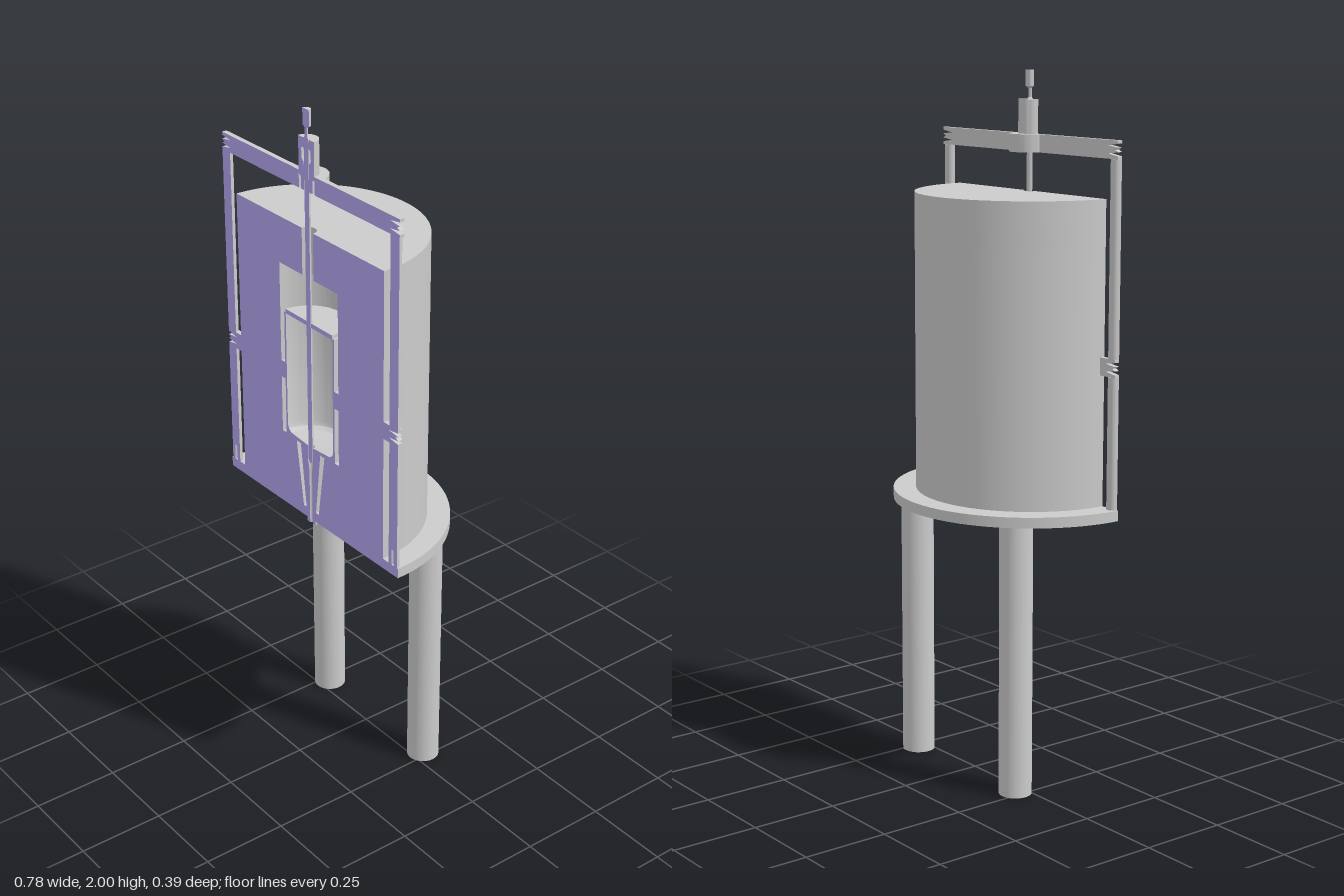
import * as THREE from 'three';
import { toCreasedNormals } from 'three/addons/utils/BufferGeometryUtils.js';

const CUT = 0.195; // z of the section plane, which holds the axis of revolution
const grey = new THREE.MeshStandardMaterial({ color: 0xcccccc, side: THREE.DoubleSide });
const purple = new THREE.MeshStandardMaterial({ color: 0xb4a6f0, side: THREE.DoubleSide });

const shapeOf = (pts, s = 1) => new THREE.Shape(pts.map(([x, y]) => new THREE.Vector2(s * x, y)));

// Solid of revolution cut in half: grey skin behind, coloured section face in front.
// The profile is a closed anticlockwise loop of [radius, height].
function halfTurned(name, pts, x = 0, segments = 32) {
  const part = new THREE.Group();
  part.name = name;
  const loop = [...pts, pts[0]].map(([r, y]) => new THREE.Vector2(r, y));
  const lathe = new THREE.LatheGeometry(loop, segments, Math.PI / 2, Math.PI);
  const skin = new THREE.Mesh(toCreasedNormals(lathe, 0.5), grey);
  skin.name = name + 'Skin';
  part.add(skin);
  for (const s of [-1, 1]) {
    const face = new THREE.Mesh(new THREE.ShapeGeometry(shapeOf(pts, s)), purple);
    face.name = name + 'Section';
    part.add(face);
  }
  part.position.set(x, 0, CUT);
  return part;
}

// Flat bar lying behind the section plane, with a coloured front face.
function slab(name, pts, s, depth = 0.015) {
  const part = new THREE.Group();
  part.name = name;
  const shape = shapeOf(pts, s);
  const bar = new THREE.Mesh(
    new THREE.ExtrudeGeometry(shape, { depth: depth - 0.0005, bevelEnabled: false }), grey);
  bar.name = name + 'Bar';
  bar.position.z = -depth;
  const face = new THREE.Mesh(new THREE.ShapeGeometry(shape), purple);
  face.name = name + 'Section';
  part.add(bar, face);
  part.position.z = CUT;
  return part;
}

const ring = (r0, r1, y0, y1) => [[r0, y0], [r1, y0], [r1, y1], [r0, y1]];

// Arm outline with two tapered slits in its outer end
const arm = (x0, y) => [
  [x0, y - 0.025], [0.386, y - 0.025], [0.386, y - 0.017], [0.345, y - 0.011], [0.386, y - 0.006],
  [0.375, y], [0.386, y + 0.006], [0.345, y + 0.011], [0.386, y + 0.017], [0.386, y + 0.025],
  [x0, y + 0.025],
];

export function createModel() {
  const model = new THREE.Group();
  model.name = 'sectionedFurnace';

  // Base plate, insulated body and lid
  model.add(halfTurned('basePlate', ring(0.02, 0.39, 0.785, 0.815), 0, 64));
  model.add(halfTurned('furnaceBody', [
    [0.035, 0.815], [0.325, 0.815], [0.325, 1.53], [0.13, 1.53], [0.13, 1.015], [0.065, 1.015],
  ], 0, 64));
  model.add(halfTurned('furnaceLid', ring(0.025, 0.325, 1.53, 1.665), 0, 64));

  // Crucible with its tapered pouring nozzle
  model.add(halfTurned('crucible', [
    [0.006, 0.772], [0.018, 0.772], [0.022, 0.815], [0.045, 1.01], [0.112, 1.01], [0.112, 1.39],
    [0.105, 1.39], [0.105, 1.045], [0.1, 1.032], [0.088, 1.024], [0.012, 1.018], [0.012, 0.972],
    [0.006, 0.94],
  ]));
  model.add(halfTurned('crucibleCover', ring(0.01, 0.105, 1.387, 1.4)));

  // Stopper rod, stem and end pin
  model.add(halfTurned('stopperRod', [
    [0, 0.965], [0.009, 0.975], [0.01, 1.92], [0.006, 1.925], [0.006, 1.95], [0.014, 1.955],
    [0.014, 2], [0, 2],
  ], 0, 16));

  // Rod housing with an inner groove, and the hub around it
  model.add(halfTurned('rodHousing', [
    [0.011, 1.775], [0.025, 1.775], [0.025, 1.81], [0.034, 1.815], [0.034, 1.92], [0.011, 1.92],
    [0.011, 1.895], [0.021, 1.89], [0.021, 1.865], [0.016, 1.855], [0.011, 1.855],
  ], 0, 24));
  model.add(halfTurned('crossbarHub', ring(0.034, 0.06, 1.775, 1.825), 0, 24));

  for (const s of [-1, 1]) {
    const side = s > 0 ? 'left' : 'right';

    // Frame: crossbar, clamp arm and hollow-footed upright
    model.add(slab(side + 'Crossbar', arm(0.05, 1.8), s));
    model.add(slab(side + 'ClampArm', arm(0.108, 1.21), s));
    model.add(halfTurned(side + 'LowerUpright', [
      [0.006, 0.79], [0.018, 0.79], [0.018, 1.185], [0, 1.185], [0, 0.865], [0.006, 0.86],
    ], s * 0.368, 12));
    model.add(halfTurned(side + 'UpperUpright', ring(0, 0.018, 1.235, 1.775), s * 0.368, 12));

    // Supporting leg
    const leg = new THREE.Mesh(new THREE.CylinderGeometry(0.047, 0.047, 0.785, 32), grey);
    leg.name = side + 'Leg';
    leg.position.set(s * 0.23, 0.3925, -0.035);
    model.add(leg);
  }
  return model;
}
